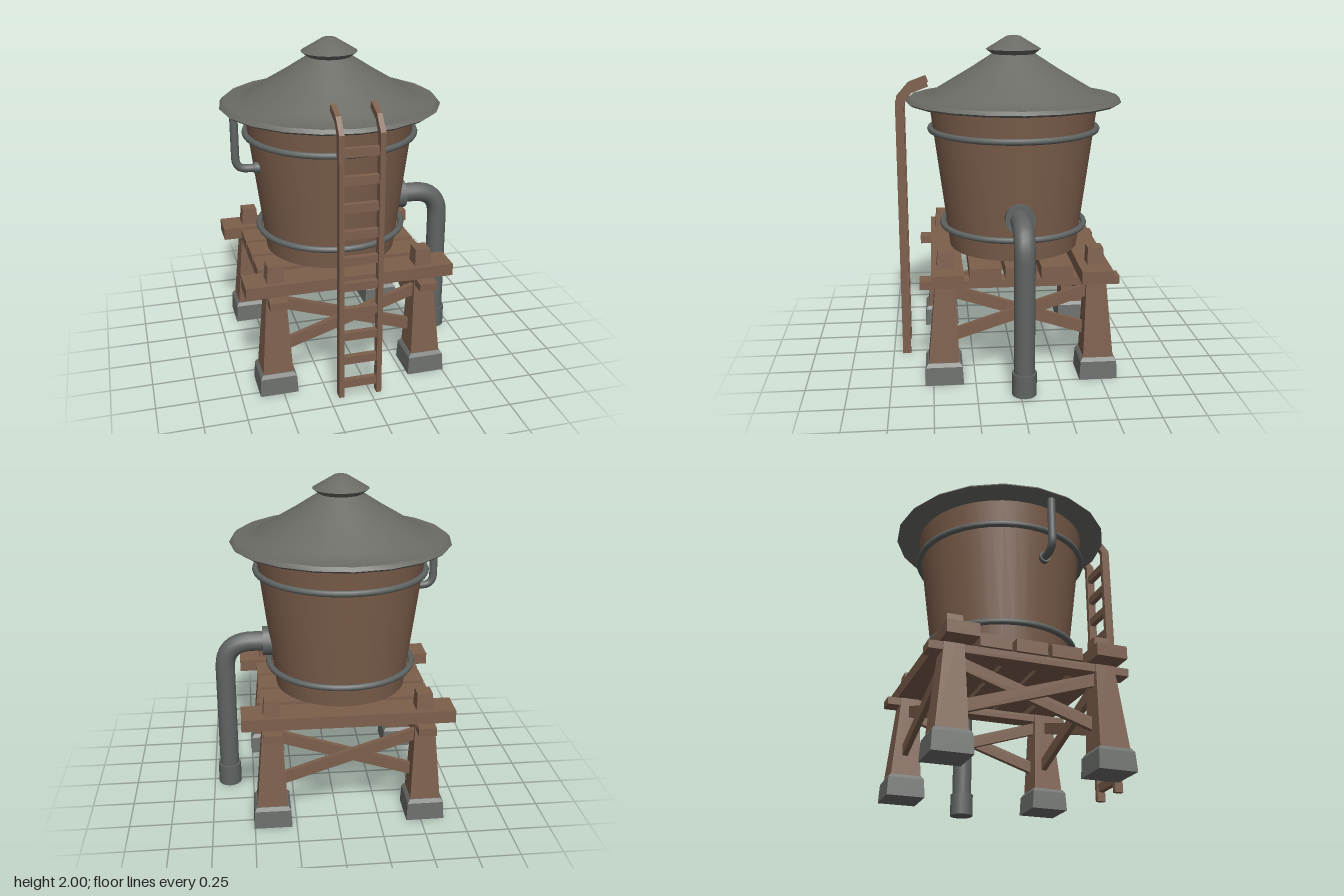
import * as THREE from 'three';
import { toCreasedNormals } from 'three/addons/utils/BufferGeometryUtils.js';

const mat = (name, color) => new THREE.MeshStandardMaterial({ name, color });

export function createModel() {
  const wood = mat('wood', 0x7d5f4c);
  const roofMetal = mat('roof metal', 0x6a6b65);
  const pipeMetal = mat('pipe metal', 0x5f6462);
  const concrete = mat('concrete', 0x6c6f6b);

  const model = new THREE.Group();
  model.name = 'waterTower';
  // Tank and stand share one axis, a little off the origin
  const tower = new THREE.Group();
  tower.name = 'tower';
  tower.position.set(-0.067, 0, -0.024);
  model.add(tower);

  const add = (parent, name, geometry, material, x = 0, y = 0, z = 0) => {
    const mesh = new THREE.Mesh(geometry, material);
    mesh.name = name;
    mesh.position.set(x, y, z);
    parent.add(mesh);
    return mesh;
  };
  const box = (parent, name, w, h, d, x, y, z) =>
    add(parent, name, new THREE.BoxGeometry(w, h, d), wood, x, y, z);
  const lathe = (points, segments = 20, crease = 0.5) => toCreasedNormals(
    new THREE.LatheGeometry(points.map(([r, y]) => new THREE.Vector2(r, y)), segments), crease);
  // Square block whose top differs in size and may lean by (dx, dz)
  const taper = (bottom, top, height, dx = 0, dz = 0) => {
    const g = new THREE.BoxGeometry(2, height, 2).translate(0, height / 2, 0);
    const p = g.attributes.position;
    for (let i = 0; i < p.count; i++) {
      const up = p.getY(i) > height / 2;
      const half = up ? top : bottom;
      p.setX(i, p.getX(i) * half + (up ? dx : 0));
      p.setZ(i, p.getZ(i) * half + (up ? dz : 0));
    }
    g.computeVertexNormals();
    return g;
  };
  // Pipe along straight runs with a curved elbow at the corner
  const pipe = (start, corner, end, bend, radius) => {
    const [a, c, b] = [start, corner, end].map((v) => new THREE.Vector3(...v));
    const p = c.clone().add(a.clone().sub(c).setLength(bend));
    const q = c.clone().add(b.clone().sub(c).setLength(bend));
    const path = new THREE.CurvePath();
    path.add(new THREE.LineCurve3(a, p));
    path.add(new THREE.QuadraticBezierCurve3(p, c, q));
    path.add(new THREE.LineCurve3(q, b));
    return new THREE.TubeGeometry(path, 40, radius, 14);
  };

  // Tank and its hoops
  add(tower, 'tank', lathe([[0, 0.7], [0.4, 0.7], [0.517, 1.61]], 40), wood);
  for (const [y, r] of [[0.84, 0.444], [1.44, 0.512]]) {
    add(tower, 'hoop', new THREE.TorusGeometry(r, 0.019, 8, 40).rotateX(Math.PI / 2), pipeMetal, 0, y);
  }

  // Roof with rolled rim and cap
  add(tower, 'roof', lathe([[0, 1.6], [0.645, 1.6], [0.66, 1.612], [0.64, 1.633], [0.55, 1.637],
    [0.5, 1.663], [0.27, 1.8], [0.13, 1.89]], 20, 0.7), roofMetal);
  add(tower, 'roofCap', lathe([[0.125, 1.885], [0.168, 1.918], [0.04, 1.995], [0, 2]], 20, 0.7), roofMetal);

  // Legs on concrete footings
  for (const sx of [-1, 1]) {
    for (const sz of [-1, 1]) {
      const x = sx * 0.459, z = sz * 0.459;
      add(tower, 'footing', taper(0.114, 0.108, 0.11), concrete, x, 0, z);
      add(tower, 'footingTop', taper(0.108, 0.094, 0.022), concrete, x, 0.11, z);
      add(tower, 'leg', taper(0.09, 0.045, 0.67, -sx * 0.012, -sz * 0.02), wood, x, 0.13, z);
    }
  }

  // Platform beams and planks
  for (const s of [-1, 1]) {
    box(tower, 'crossBeam', 0.106, 0.047, 1.18, s * 0.45, 0.6, 0.004);
    box(tower, 'outerPlank', 1.255, 0.075, 0.183, 0, 0.662, s * 0.432);
  }
  for (const z of [-0.21, 0, 0.21]) box(tower, 'innerPlank', 1.04, 0.075, 0.185, 0, 0.662, z);

  // Crossed braces on all four sides
  for (let side = 0; side < 4; side++) {
    const frame = new THREE.Group();
    frame.name = 'braces';
    frame.rotation.y = side * Math.PI / 2;
    tower.add(frame);
    for (const s of [-1, 1]) {
      box(frame, 'brace', 0.94, 0.07, 0.032, 0, 0.41, 0.452 + s * 0.016).rotation.z = s * 0.315;
    }
  }

  // Ladder with rails hooked over the roof edge
  const ladder = new THREE.Group();
  ladder.name = 'ladder';
  ladder.position.x = -0.069;
  model.add(ladder);
  const railShape = new THREE.Shape([[0.692, 0.01], [0.692, 1.625], [0.617, 1.71], [0.51, 1.75],
    [0.495, 1.71], [0.595, 1.672], [0.641, 1.61], [0.641, 0.01]].map(([z, y]) => new THREE.Vector2(-z, y)));
  for (const s of [-1, 1]) {
    const g = new THREE.ExtrudeGeometry(railShape, { depth: 0.03, bevelEnabled: false });
    add(ladder, 'rail', g.translate(0, 0, -0.015).rotateY(Math.PI / 2), wood, s * 0.114);
  }
  for (let i = 0; i < 10; i++) box(ladder, 'rung', 0.2, 0.05, 0.034, 0, 0.09 + i * 0.159, 0.664);

  // Drain pipe with flange and ground collar
  const drain = new THREE.Group();
  drain.name = 'drain';
  drain.position.z = -0.022;
  model.add(drain);
  add(drain, 'drainPipe', pipe([0.33, 0.975, 0], [0.65, 0.975, 0], [0.65, 0.06, 0], 0.17, 0.061), pipeMetal);
  add(drain, 'flange', new THREE.CylinderGeometry(0.09, 0.09, 0.07, 16).rotateZ(Math.PI / 2), pipeMetal, 0.38, 0.975);
  add(drain, 'collar', new THREE.CylinderGeometry(0.072, 0.072, 0.135, 16), pipeMetal, 0.65, 0.0675);

  // Overflow pipe from roof into the tank side
  add(model, 'overflowPipe', pipe([-0.661, 1.61, 0.08], [-0.661, 1.272, 0.08], [-0.5, 1.272, 0.08], 0.07, 0.024), pipeMetal);
  add(model, 'overflowFlange', new THREE.CylinderGeometry(0.034, 0.034, 0.05, 12).rotateZ(Math.PI / 2), pipeMetal, -0.53, 1.272, 0.08);

  return model;
}
